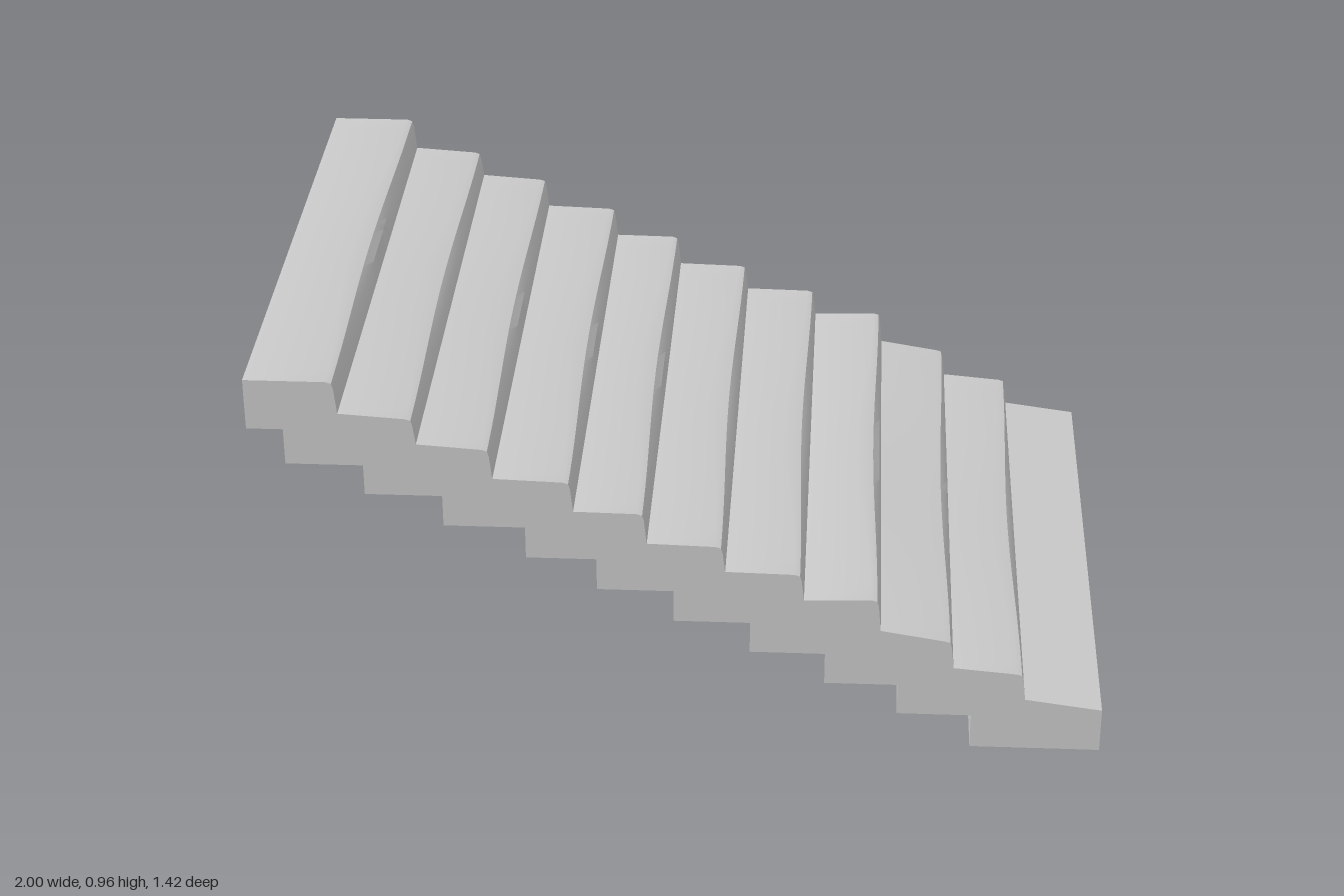
import * as THREE from 'three';
import { toCreasedNormals } from 'three/addons/utils/BufferGeometryUtils.js';

const HALF_DEPTH = 0.71;
const SECTIONS = 24;

// Each tread: back height, nose x, nose height
const TREADS = [
  [0.96, -0.79, 0.96], [0.878, -0.613, 0.868], [0.802, -0.44, 0.792],
  [0.715, -0.255, 0.71], [0.632, -0.085, 0.63], [0.55, 0.098, 0.546],
  [0.478, 0.283, 0.475], [0.405, 0.465, 0.41], [0.325, 0.64, 0.3],
  [0.225, 0.813, 0.212], [0.14, 1, 0.115],
];

// Stepped underside, one riser per entry: x, lower y, upper y
const UNDERSIDE = [
  [0.69, 0, 0.09], [0.513, 0.09, 0.172], [0.338, 0.172, 0.255],
  [0.16, 0.255, 0.337], [-0.02, 0.337, 0.42], [-0.2, 0.42, 0.503],
  [-0.365, 0.503, 0.585], [-0.555, 0.585, 0.665], [-0.735, 0.665, 0.742],
  [-0.915, 0.742, 0.833],
];

// Counter-clockwise outline; wear (0..1) softens the nosings
function outline(wear) {
  const pts = [new THREE.Vector2(-1, TREADS[0][0])];
  TREADS.forEach(([, x, y], i) => {
    const next = TREADS[i + 1];
    if (!next) {
      pts.push(new THREE.Vector2(x, y));
      return;
    }
    pts.push(
      new THREE.Vector2(x - 0.02 - 0.04 * wear, y),
      new THREE.Vector2(x - 0.007 - 0.012 * wear, y - 0.004 - 0.006 * wear),
      new THREE.Vector2(x - 0.003, y - 0.018 - 0.01 * wear),
      new THREE.Vector2(x + 0.003, next[0]),
    );
  });
  pts.push(new THREE.Vector2(1, 0));
  for (const [x, low, high] of UNDERSIDE) {
    pts.push(new THREE.Vector2(x, low), new THREE.Vector2(x, high));
  }
  pts.push(new THREE.Vector2(-1, 0.833));
  return pts.reverse();
}

// Loft the outline from back to front and close both ends
function flightGeometry() {
  const positions = [];
  const index = [];
  let count = 0;
  for (let s = 0; s <= SECTIONS; s++) {
    const z = -HALF_DEPTH + (2 * HALF_DEPTH * s) / SECTIONS;
    const wear = Math.cos((z / HALF_DEPTH) * Math.PI / 2) ** 2;
    const ring = outline(wear);
    count = ring.length;
    for (const p of ring) positions.push(p.x, p.y, z);
  }
  for (let s = 0; s < SECTIONS; s++) {
    for (let i = 0; i < count; i++) {
      const a = s * count + i;
      const b = s * count + ((i + 1) % count);
      index.push(a, b, b + count, a, b + count, a + count);
    }
  }
  const front = SECTIONS * count;
  for (const [a, b, c] of THREE.ShapeUtils.triangulateShape(outline(0), [])) {
    index.push(front + a, front + b, front + c, a, c, b);
  }
  const geometry = new THREE.BufferGeometry();
  geometry.setAttribute('position', new THREE.Float32BufferAttribute(positions, 3));
  geometry.setIndex(index);
  return toCreasedNormals(geometry, 0.6);
}

export function createModel() {
  const group = new THREE.Group();
  group.name = 'staircase';
  const flight = new THREE.Mesh(
    flightGeometry(),
    new THREE.MeshStandardMaterial({ color: 0xcccccc }),
  );
  flight.name = 'stairFlight';
  group.add(flight);
  return group;
}
